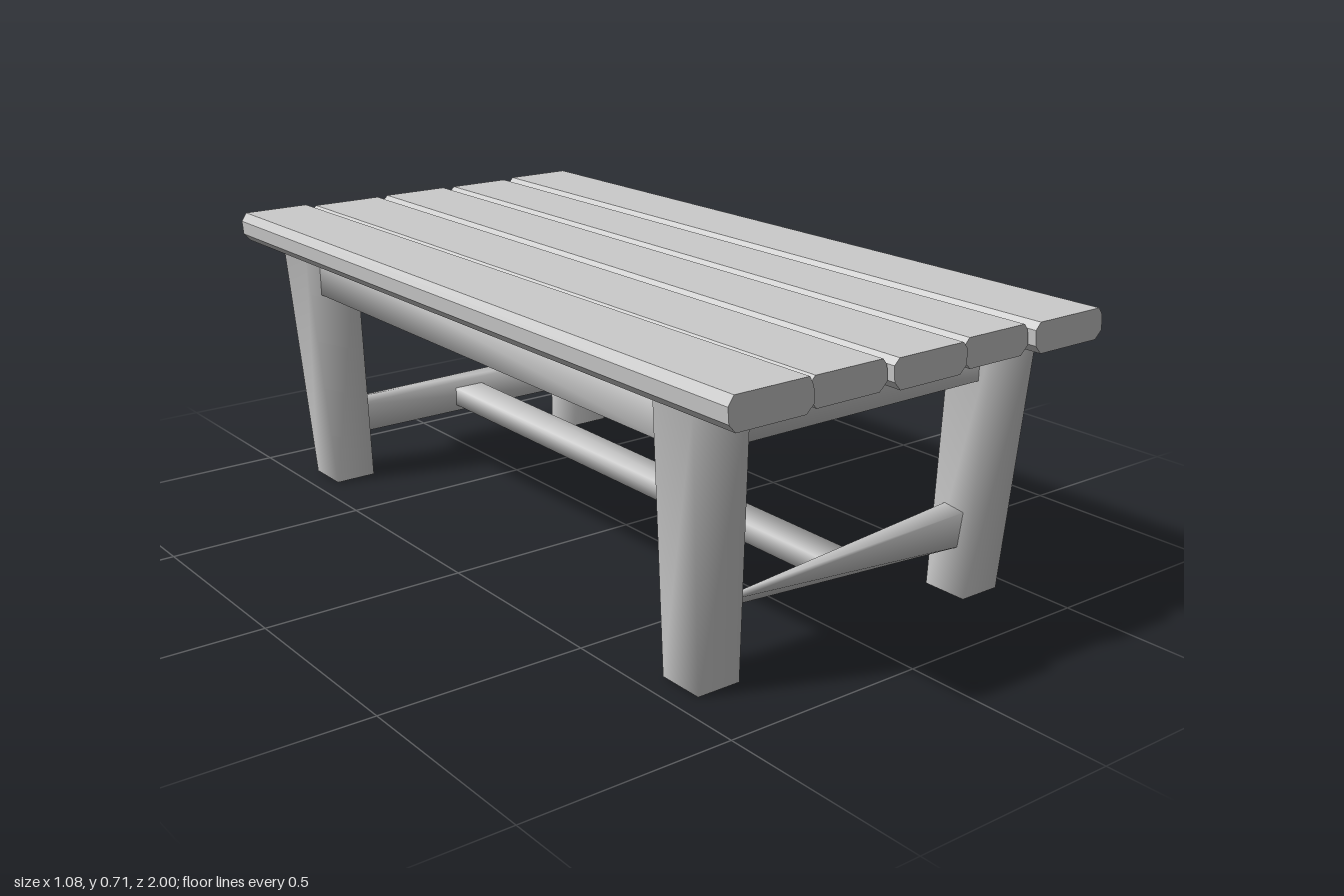
import * as THREE from 'three';

const smooth = new THREE.MeshStandardMaterial({ color: 0xcccccc });
const faceted = new THREE.MeshStandardMaterial({ color: 0xcccccc, flatShading: true });

// Solid between two rings of points; sides share vertices, caps do not
function loft(a, b) {
  const n = a.length;
  const pos = [...a, ...b, ...a, ...b].flat();
  const index = [];
  for (let i = 0; i < n; i++) {
    const j = (i + 1) % n;
    index.push(i, j, n + j, i, n + j, n + i);
  }
  for (let i = 1; i < n - 1; i++) {
    index.push(2 * n, 2 * n + i + 1, 2 * n + i);
    index.push(3 * n, 3 * n + i, 3 * n + i + 1);
  }
  const g = new THREE.BufferGeometry();
  g.setAttribute('position', new THREE.Float32BufferAttribute(pos, 3));
  g.setIndex(index);
  g.computeVertexNormals();
  return g;
}

// Section coordinates (u, v) at distance t along an axis
const place = {
  x: (u, v, t) => [t, u, v],
  y: (u, v, t) => [v, t, u],
  z: (u, v, t) => [u, v, t],
};

// Rectangular section centred on (u, v), tilted in its plane
function rect(axis, t, u, v, w, h, tilt = 0) {
  const c = Math.cos(tilt), s = Math.sin(tilt);
  return [[-1, -1], [1, -1], [1, 1], [-1, 1]].map(([p, q]) => {
    const du = p * w / 2, dv = q * h / 2;
    return place[axis](u + du * c - dv * s, v + du * s + dv * c, t);
  });
}

export function createModel() {
  const group = new THREE.Group();
  const add = (name, geometry, material = smooth) => {
    const mesh = new THREE.Mesh(geometry, material);
    mesh.name = name;
    group.add(mesh);
  };

  // Table top: five bevelled planks, [left, right] at the back and the front
  const planks = [
    { back: [-0.54, -0.335], front: [-0.525, -0.31], z: [-0.99, 1], top: 0.706 },
    { back: [-0.33, -0.11], front: [-0.31, -0.102], z: [-0.995, 0.985], top: 0.699 },
    { back: [-0.104, 0.108], front: [-0.1, 0.11], z: [-1, 1], top: 0.699 },
    { back: [0.113, 0.314], front: [0.116, 0.312], z: [-0.995, 0.985], top: 0.699 },
    { back: [0.32, 0.53], front: [0.317, 0.535], z: [-1, 1], top: 0.701 },
  ];
  const plankRing = ([l, r], z, top) => [
    [l + 0.02, 0.631], [r - 0.02, 0.631], [r, 0.65], [r - 0.003, 0.685],
    [r - 0.014, top], [l + 0.014, top], [l, 0.685], [l + 0.003, 0.65],
  ].map(([x, y]) => [x, y, z]);
  planks.forEach((p, i) => add('plank' + (i + 1),
    loft(plankRing(p.back, p.z[0], p.top), plankRing(p.front, p.z[1], p.top)), faceted));

  // Splayed legs, thicker at the top
  for (const sz of [1, -1]) {
    for (const [bottomX, topX, side] of [[-0.385, -0.415, 'Right'], [0.4, 0.43, 'Left']]) {
      add((sz > 0 ? 'front' : 'back') + side + 'Leg', loft(
        rect('y', 0, sz * 0.768, bottomX, 0.115, 0.11),
        rect('y', 0.635, sz * 0.792, topX, 0.125, 0.145)));
    }
  }

  // Aprons under the top
  for (const sz of [1, -1]) {
    add(sz > 0 ? 'frontApron' : 'backApron', loft(
      rect('x', -0.4, 0.578, sz * 0.785, 0.112, 0.07),
      rect('x', 0.41, 0.578, sz * 0.785, 0.112, 0.07)));
  }
  for (const x of [-0.41, 0.42]) {
    add(x > 0 ? 'leftApron' : 'rightApron', loft(
      rect('z', -0.77, x, 0.578, 0.08, 0.112),
      rect('z', 0.77, x, 0.578, 0.08, 0.112)));
  }

  // Low stretchers: the front one twists down to a thin blade
  add('frontStretcher', loft(
    rect('x', -0.345, 0.162, 0.77, 0.125, 0.012, 0.97),
    rect('x', 0.38, 0.165, 0.77, 0.092, 0.06, 0.12)));
  add('backStretcher', loft(
    rect('x', -0.38, 0.158, -0.77, 0.08, 0.065),
    rect('x', 0.39, 0.163, -0.77, 0.09, 0.065)));
  add('longStretcher', loft(
    rect('z', -0.77, 0, 0.16, 0.085, 0.05),
    rect('z', 0.77, 0, 0.155, 0.085, 0.046)));

  return group;
}
